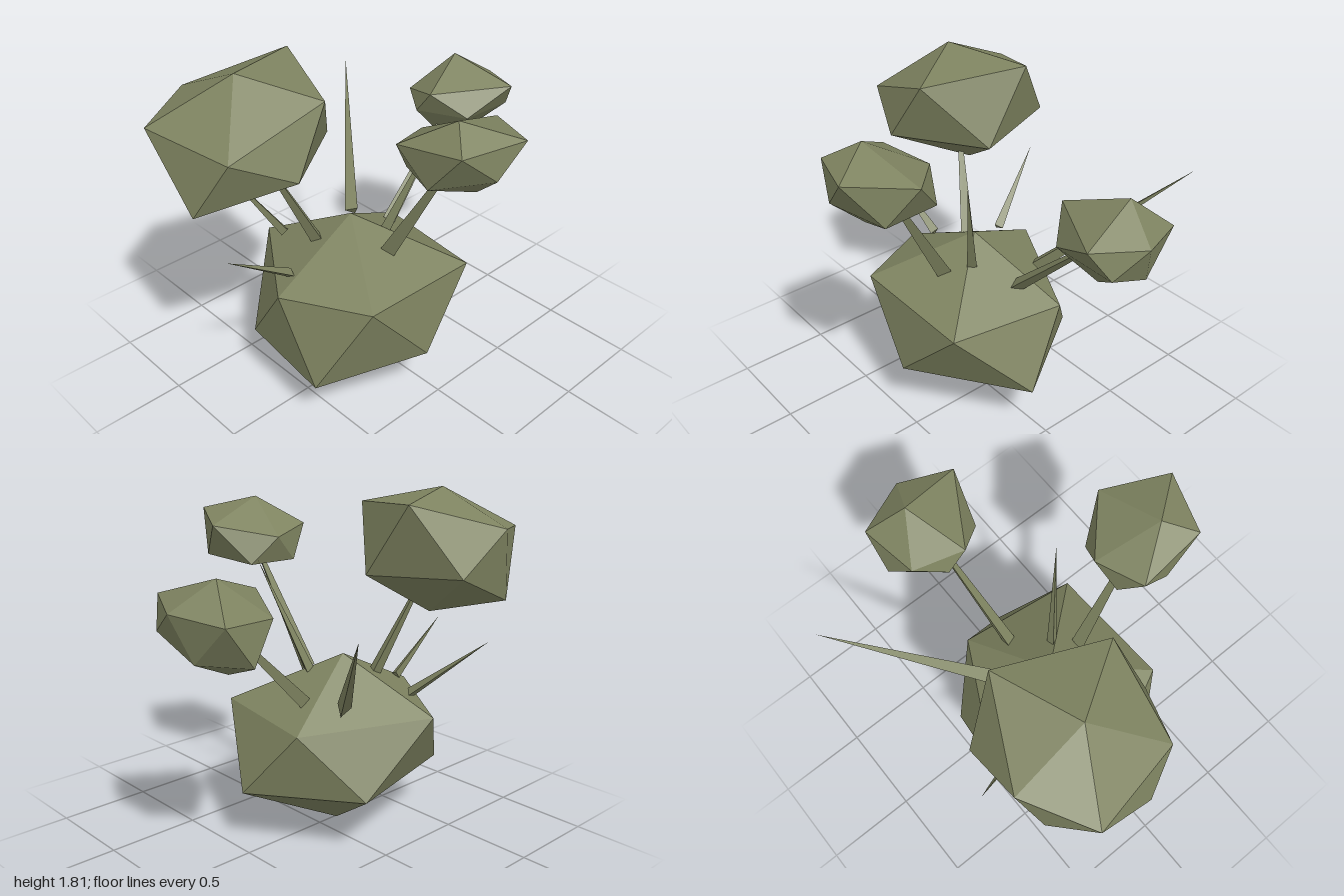
import * as THREE from 'three';
import { ConvexGeometry } from 'three/addons/geometries/ConvexGeometry.js';

const olive = new THREE.MeshStandardMaterial({ color: 0x7e8360, flatShading: true });
olive.name = 'olive';

const V = (p) => new THREE.Vector3(...p);

// Irregular twenty-sided lump: top, upper ring, lower ring, bottom
function lump(name, points) {
  const mesh = new THREE.Mesh(new ConvexGeometry(points.map(V)), olive);
  mesh.name = name;
  return mesh;
}

// Three-sided tapered rod between two points
function rod(name, from, to, r0, r1) {
  const a = V(from), b = V(to), dir = b.clone().sub(a);
  const mesh = new THREE.Mesh(new THREE.CylinderGeometry(r1, r0, dir.length(), 3), olive);
  mesh.position.copy(a).add(b).multiplyScalar(0.5);
  mesh.quaternion.setFromUnitVectors(new THREE.Vector3(0, 1, 0), dir.normalize());
  mesh.name = name;
  return mesh;
}

export function createModel() {
  const model = new THREE.Group();
  model.name = 'buddingLump';

  // Main body
  model.add(lump('body', [
    [-0.14, 0.955, -0.03],
    [0.35, 0.66, -0.21], [0.26, 0.68, 0.43], [-0.44, 0.72, 0.45], [-0.66, 0.7, 0], [-0.29, 0.69, -0.54],
    [0.47, 0.3, 0.08], [-0.1, 0.32, 0.5], [-0.65, 0.26, 0.25], [-0.62, 0.31, -0.28], [0.12, 0.32, -0.47],
    [-0.12, 0, -0.01],
  ]));

  // Buds
  model.add(lump('largeBud', [
    [-0.63, 1.81, -0.26],
    [-0.19, 1.77, -0.42], [-0.4, 1.72, 0.1], [-0.9, 1.55, 0.03], [-1, 1.59, -0.465], [-0.66, 1.63, -0.66],
    [-0.61, 1.4, 0.15], [-1, 1.25, -0.14], [-0.33, 1.42, -0.66], [-0.17, 1.39, -0.16], [-0.78, 1.235, -0.59],
    [-0.51, 1.17, -0.3],
  ]));
  model.add(lump('frontBud', [
    [-0.11, 1.72, 0.64],
    [0.24, 1.6, 0.57], [0.07, 1.65, 0.88], [-0.24, 1.63, 0.78], [-0.27, 1.58, 0.42], [-0.015, 1.54, 0.335],
    [-0.08, 1.49, 0.85], [0.165, 1.42, 0.72], [0.12, 1.4, 0.4], [-0.15, 1.4, 0.37], [-0.25, 1.41, 0.6],
    [-0.03, 1.355, 0.7],
  ]));
  model.add(lump('sideBud', [
    [0.785, 1.52, -0.18],
    [0.995, 1.38, -0.1], [0.865, 1.41, 0.165], [0.47, 1.41, -0.065], [0.58, 1.33, -0.32], [0.89, 1.35, -0.375],
    [0.6, 1.28, 0.09], [0.94, 1.26, 0.075], [0.92, 1.15, -0.18], [0.74, 1.14, -0.38], [0.48, 1.28, -0.17],
    [0.685, 1.04, -0.115],
  ]));

  // Stalks carrying the buds
  model.add(rod('largeBudStalk', [-0.29, 0.81, -0.1], [-0.49, 1.27, -0.22], 0.04, 0.015));
  model.add(rod('frontBudStalk', [-0.1, 0.83, 0.21], [-0.05, 1.42, 0.54], 0.045, 0.015));
  model.add(rod('sideBudStalk', [0.17, 0.76, -0.06], [0.65, 1.23, -0.11], 0.04, 0.015));

  // Bare spikes
  model.add(rod('backSpike', [0.09, 0.76, -0.27], [0.6, 1.34, -0.875], 0.043, 0));
  model.add(rod('frontSpike', [-0.01, 0.86, 0.095], [0.185, 1.46, 0.27], 0.03, 0));
  model.add(rod('sideSpike', [-0.53, 0.755, -0.055], [-0.915, 1.02, -0.03], 0.028, 0));
  model.add(rod('smallBackSpike', [-0.32, 0.77, -0.35], [-0.47, 1.1, -0.725], 0.03, 0));

  return model;
}
